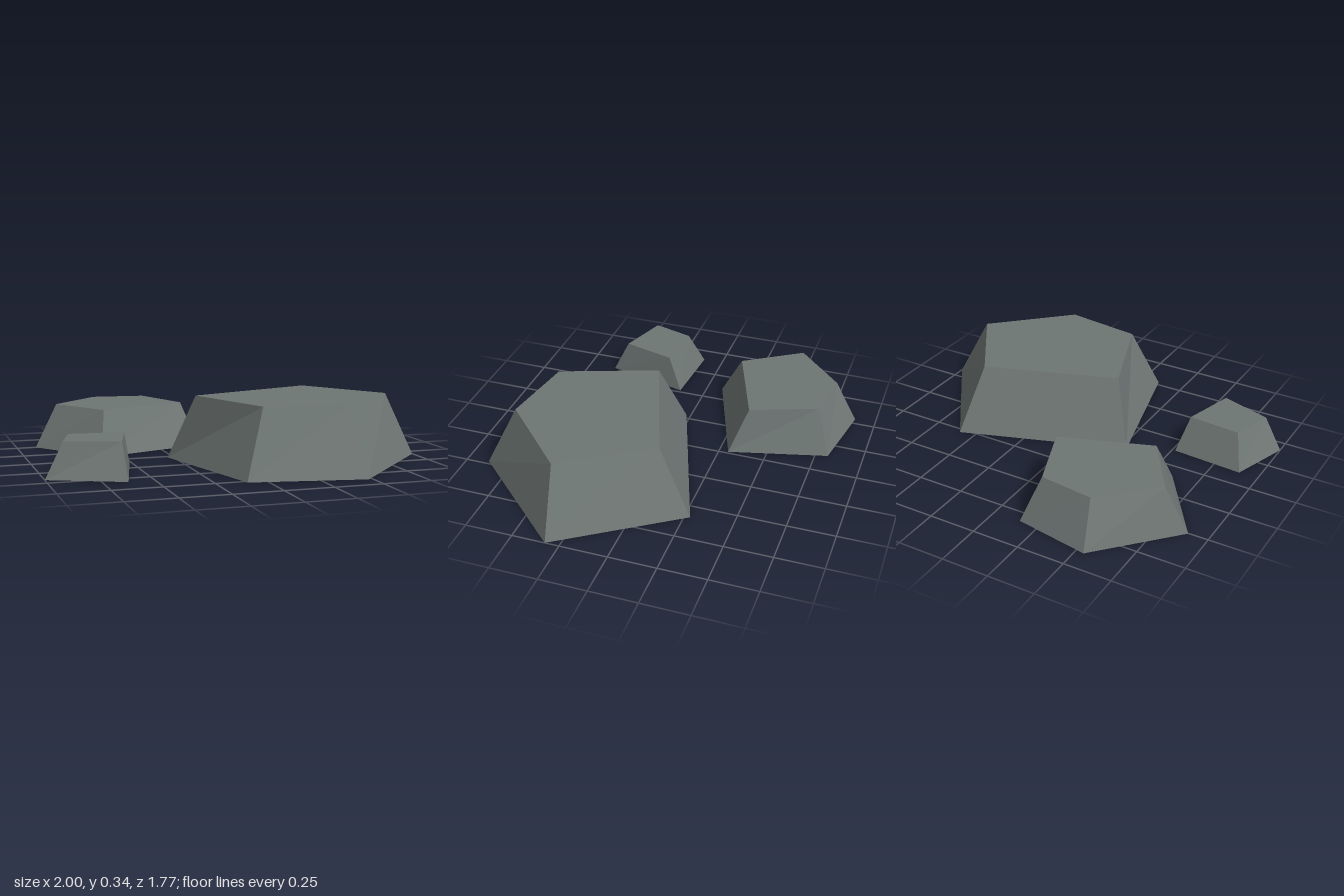
import * as THREE from 'three';

// Faceted boulder shell, open underneath: base and top rings are [x, z] corners, clockwise from above
function makeRock(name, height, base, top, material) {
  const positions = [];
  const low = base.map(([x, z]) => [x, 0, z]);
  const high = top.map(([x, z]) => [x, height, z]);
  const triangle = (a, b, c) => positions.push(...a, ...b, ...c);
  const n = low.length;

  // sloping sides
  for (let i = 0; i < n; i++) {
    const j = (i + 1) % n;
    triangle(low[j], low[i], high[i]);
    triangle(low[j], high[i], high[j]);
  }
  // flat top
  for (let i = 1; i < n - 1; i++) triangle(high[0], high[i + 1], high[i]);

  const geometry = new THREE.BufferGeometry();
  geometry.setAttribute('position', new THREE.Float32BufferAttribute(positions, 3));
  geometry.computeVertexNormals();
  const mesh = new THREE.Mesh(geometry, material);
  mesh.name = name;
  return mesh;
}

export function createModel() {
  const model = new THREE.Group();
  model.name = 'rocks';

  const stone = new THREE.MeshStandardMaterial({ color: 0x6e7674, side: THREE.DoubleSide, flatShading: true });
  stone.name = 'stone grey';

  model.add(
    makeRock('largeRock', 0.34,
      [[-0.283, 0.025], [0.588, -0.28], [1, 0.325], [0.478, 0.883], [-0.1, 0.777]],
      [[-0.163, 0.145], [0.53, -0.1], [0.818, 0.35], [0.438, 0.717], [0.022, 0.655]], stone),
    makeRock('mediumRock', 0.235,
      [[-0.542, -0.887], [-0.146, -0.817], [-0.012, -0.3], [-0.61, -0.087], [-0.897, -0.502]],
      [[-0.513, -0.772], [-0.227, -0.735], [-0.095, -0.385], [-0.573, -0.21], [-0.775, -0.52]], stone),
    makeRock('smallRock', 0.18,
      [[-0.897, 0.112], [-0.517, 0.14], [-0.63, 0.592], [-1, 0.425]],
      [[-0.842, 0.195], [-0.562, 0.222], [-0.64, 0.505], [-0.908, 0.415]], stone),
  );
  return model;
}
